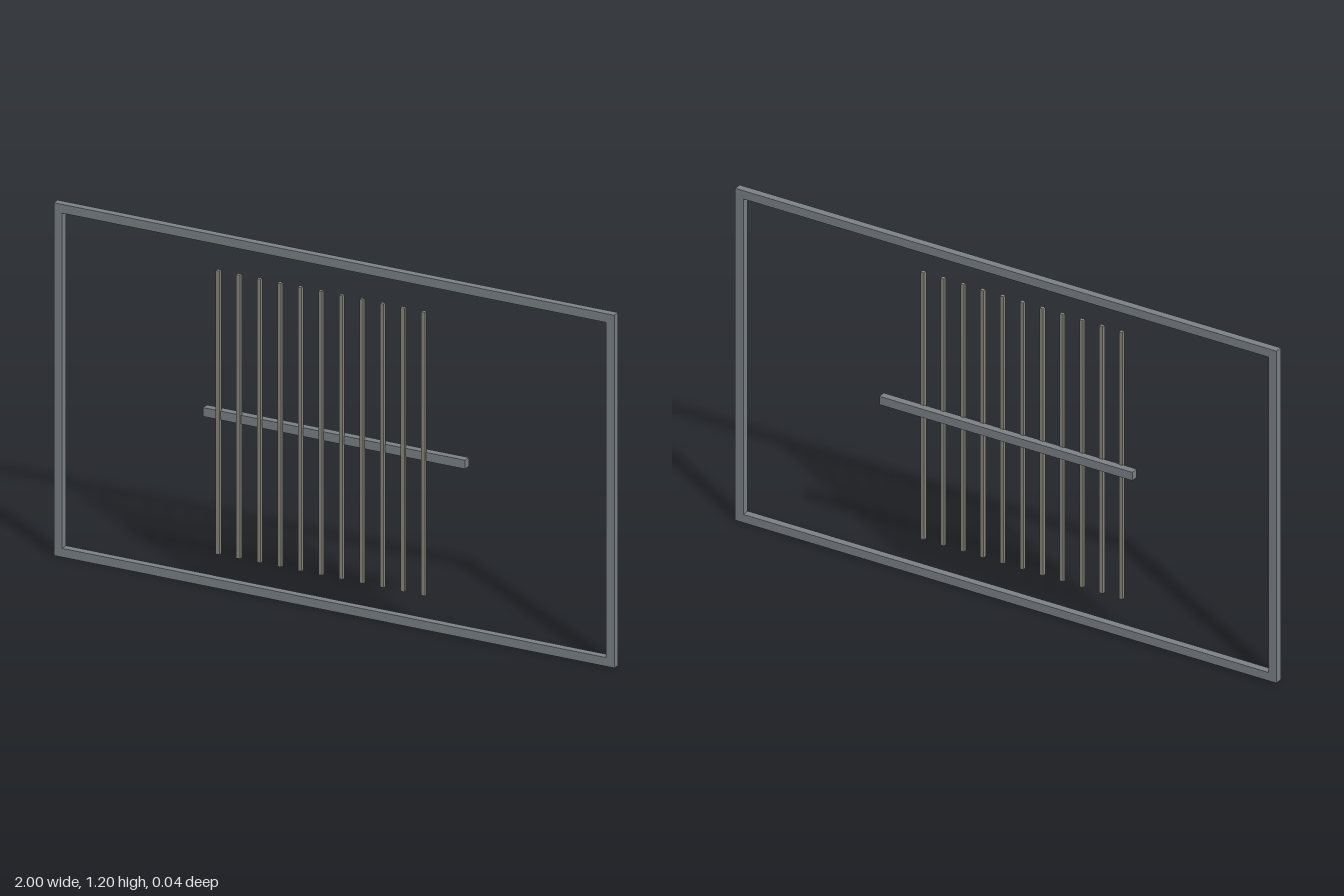
import * as THREE from 'three';

const W = 2, H = 1.2, T = 0.03;      // frame width, height, beam thickness
const D = 0.026, Z = -0.0045;        // beam depth and its centre in z

export function createModel() {
  const group = new THREE.Group();
  const beamMat = new THREE.MeshStandardMaterial({ color: 0x7d8388 });
  const rodMat = new THREE.MeshStandardMaterial({ color: 0x8a887d });

  // Rectangular outer frame, one ring with an opening
  const outline = new THREE.Shape([
    new THREE.Vector2(-W / 2, 0), new THREE.Vector2(W / 2, 0),
    new THREE.Vector2(W / 2, H), new THREE.Vector2(-W / 2, H),
  ]);
  outline.holes.push(new THREE.Path([
    new THREE.Vector2(-W / 2 + T, T), new THREE.Vector2(-W / 2 + T, H - T),
    new THREE.Vector2(W / 2 - T, H - T), new THREE.Vector2(W / 2 - T, T),
  ]));
  const frame = new THREE.Mesh(
    new THREE.ExtrudeGeometry(outline, { depth: D, bevelEnabled: false }), beamMat);
  frame.name = 'outerFrame';
  frame.position.z = Z - D / 2;
  group.add(frame);

  // Horizontal bar in the middle
  const crossbar = new THREE.Mesh(new THREE.BoxGeometry(0.935, T, D), beamMat);
  crossbar.name = 'crossbar';
  crossbar.position.set(0, 0.59, Z);
  group.add(crossbar);

  // Row of upright rods, set slightly into the front of the crossbar
  const rods = new THREE.Group();
  rods.name = 'rods';
  const rodGeo = new THREE.BoxGeometry(0.013, 0.965, 0.013);
  for (let i = 0; i < 11; i++) {
    const rod = new THREE.Mesh(rodGeo, rodMat);
    rod.name = `rod${i + 1}`;
    rod.position.set(-0.411 + i * 0.0733, 0.602, 0.011);
    rods.add(rod);
  }
  group.add(rods);

  return group;
}
